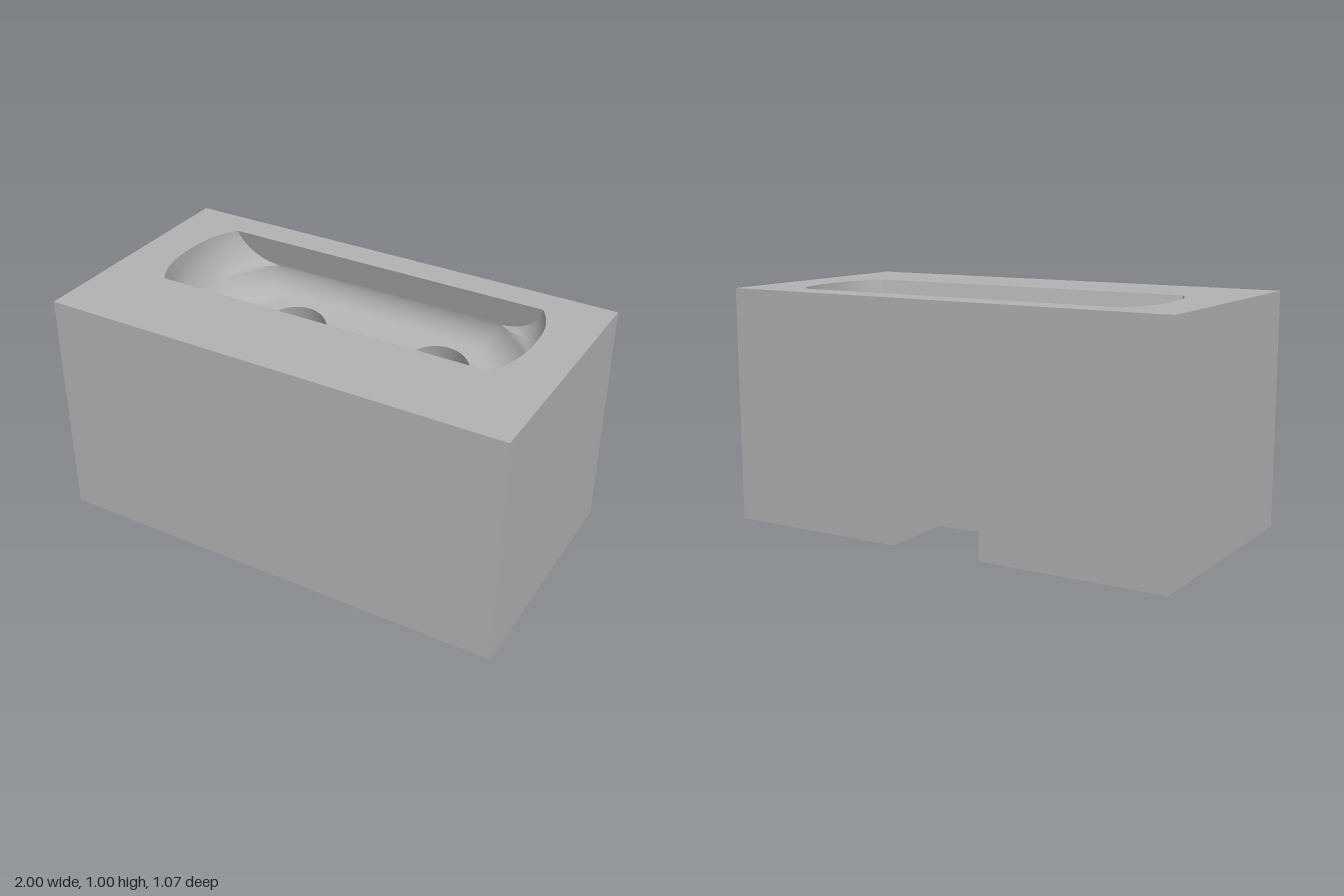
import * as THREE from 'three';
import { toCreasedNormals } from 'three/addons/utils/BufferGeometryUtils.js';

const D = 0.5325;                        // half depth of the block
const TILT = THREE.MathUtils.degToRad(16.5);
const S = Math.sin(TILT), C = Math.cos(TILT);
const FLOOR_Y = 0.683, FLOOR_Z = -0.225; // centre of the tilted pocket floor
const NOTCH_H = 0.125, SLOT_H = 0.09;

// Tilted pocket frame: x across, v along the floor, e height above the floor
const pocket = (x, v, e) => new THREE.Vector3(x, FLOOR_Y - S * v + C * e, FLOOR_Z + C * v + S * e);
const round = (k) => Math.sqrt(Math.max(0, 1 - (1 - Math.min(k, 1)) ** 2));

// Skin over rows of points; faces look along (column x row)
function loft(rows, closed = true) {
  const n = rows[0].length, idx = [];
  for (let r = 0; r < rows.length - 1; r++) {
    for (let c = 0; c < (closed ? n : n - 1); c++) {
      const d = (c + 1) % n, a = r * n + c, b = r * n + d;
      idx.push(a, b, b + n, a, b + n, a + n);
    }
  }
  const g = new THREE.BufferGeometry().setFromPoints(rows.flat());
  g.setIndex(idx);
  return toCreasedNormals(g, 0.6);
}

// Flat panel: a 2D outline with holes, placed in space by a mapping
function panel(outline, map, flip = false, holes = []) {
  const shape = new THREE.Shape(outline.map(([a, b]) => new THREE.Vector2(a, b)));
  for (const h of holes) shape.holes.push(new THREE.Path(h.map(([a, b]) => new THREE.Vector2(a, b))));
  const g = new THREE.ShapeGeometry(shape);
  const p = g.attributes.position;
  for (let i = 0; i < p.count; i++) {
    const q = map(p.getX(i), p.getY(i));
    p.setXYZ(i, q.x, q.y, q.z);
  }
  if (flip) g.index.array.reverse();
  g.computeVertexNormals();
  return g;
}

const rect = (a0, b0, a1, b1) => [[a0, b0], [a1, b0], [a1, b1], [a0, b1]];
const circle = (x, y, r, n) => Array.from({ length: n }, (_, i) => {
  const t = (i / n) * Math.PI * 2;
  return [x + r * Math.cos(t), y + r * Math.sin(t)];
});
const at = (x, y, z) => new THREE.Vector3(x, y, z);

// Pocket half sizes at height e: flat wall distance, end at the wall, end at the middle
const wallV = (e) => 0.17 + 0.089 * round(e / 0.108);
const cornerX = (e) => (e < 0.108 ? 0.48 + 0.07 * e / 0.108 : 0.55 + 0.19 * round((e - 0.108) / 0.192));
const middleX = (e) => 0.57 + 0.24 * round(e / 0.3);
function pocketXV(side, t, e) {
  const p = cornerX(e), m = middleX(e);
  return [side * (p + (m - p) * (1 - Math.abs(t) ** 2.5)), wallV(e) * t];
}

export function createModel() {
  const group = new THREE.Group();
  const grey = new THREE.MeshStandardMaterial({ color: 0xb2b2b2, side: THREE.DoubleSide });
  grey.name = 'grey';
  const add = (name, geometry) => {
    const mesh = new THREE.Mesh(geometry, grey);
    mesh.name = name;
    group.add(mesh);
  };

  // Pocket columns run round both bulging ends
  const columns = [];
  const N = 20, LEVELS = 28;
  for (const side of [1, -1]) {
    for (let i = 0; i <= N; i++) columns.push([side, side * (2 * i / N - 1)]);
  }
  // Height at which each column meets the top of the block
  const tops = columns.map(([side, t]) => {
    let lo = 0, hi = 1;
    for (let i = 0; i < 40; i++) {
      const mid = (lo + hi) / 2;
      if (pocket(...pocketXV(side, t, mid), mid).y < 1) lo = mid; else hi = mid;
    }
    return lo;
  });
  const rows = [];
  for (let k = 0; k <= LEVELS; k++) {
    rows.push(columns.map(([side, t], j) => {
      const e = tops[j] * (k / LEVELS) ** 1.6;
      return pocket(...pocketXV(side, t, e), e);
    }));
  }
  add('pocketWall', loft(rows));

  // Pocket floor with two round recesses and two pin holes
  const discs = [-0.345, 0.345].map((x) => circle(x, 0.008, 0.16, 48));
  const pins = [-0.112, 0.112].map((x) => circle(x, 0.012, 0.016, 16));
  const floorOutline = columns.map(([side, t]) => pocketXV(side, t, 0));
  add('pocketFloor', panel(floorOutline, (x, v) => pocket(x, v, 0), true, [...discs, ...pins]));
  for (const ring of discs) {
    add('recessWall', loft([-0.08, 0].map((e) => ring.map(([x, v]) => pocket(x, v, e)))));
    add('recessFloor', panel(ring, (x, v) => pocket(x, v, -0.08), true));
  }

  // Slanted pin holes run down to the notch ceiling
  const pinExits = pins.map((ring) => {
    const upper = ring.map(([x, v]) => pocket(x, v, 0));
    const lower = upper.map((p) => at(p.x, NOTCH_H, p.z - (p.y - NOTCH_H) * S / C));
    add('pinHole', loft([lower, upper]));
    return lower.map((p) => [p.x, p.z]);
  });

  // Outer faces of the block
  const opening = rows[LEVELS].map((p) => [p.x, p.z]);
  add('topFace', panel(rect(-1, -D, 1, D), (x, z) => at(x, 1, z), true, [opening]));
  add('frontFace', panel(rect(-1, 0, 1, 1), (x, y) => at(x, y, D)));
  add('rightFace', panel(rect(-D, 0, D, 1), (z, y) => at(-1, y, z)));
  add('leftFace', panel(rect(-D, 0, D, 1), (z, y) => at(1, y, z), true));
  const backOutline = [[-1, 0], [-0.205, 0], [-0.205, NOTCH_H], [0.205, NOTCH_H], [0.205, 0], [1, 0], [1, 1], [-1, 1]];
  add('backFace', panel(backOutline, (x, y) => at(x, y, -D), true));

  // Underside with the cable notch and its narrow slot
  const cut = [[0.205, -D], [0.205, -0.195], [0.035, -0.195], [0.035, 0.083],
    [-0.035, 0.083], [-0.035, -0.195], [-0.205, -0.195], [-0.205, -D]];
  add('underside', panel([[1, -D], [1, D], [-1, D], [-1, -D], ...cut.slice().reverse()], (x, z) => at(x, 0, z)));
  const wall = (name, [x0, z0], [x1, z1], y0, y1) =>
    add(name, loft([y0, y1].map((y) => [at(x0, y, z0), at(x1, y, z1)]), false));
  for (let i = 0; i < cut.length - 1; i++) {
    const slot = i >= 2 && i <= 4;
    wall(slot ? 'slotWall' : 'notchWall', cut[i], cut[i + 1], 0, slot ? SLOT_H : NOTCH_H);
  }
  wall('slotLintel', cut[2], cut[5], SLOT_H, NOTCH_H);
  add('notchCeiling', panel(rect(-0.205, -D, 0.205, -0.195), (x, z) => at(x, NOTCH_H, z), false, pinExits));
  add('slotCeiling', panel(rect(-0.035, -0.195, 0.035, 0.083), (x, z) => at(x, SLOT_H, z)));

  return group;
}
